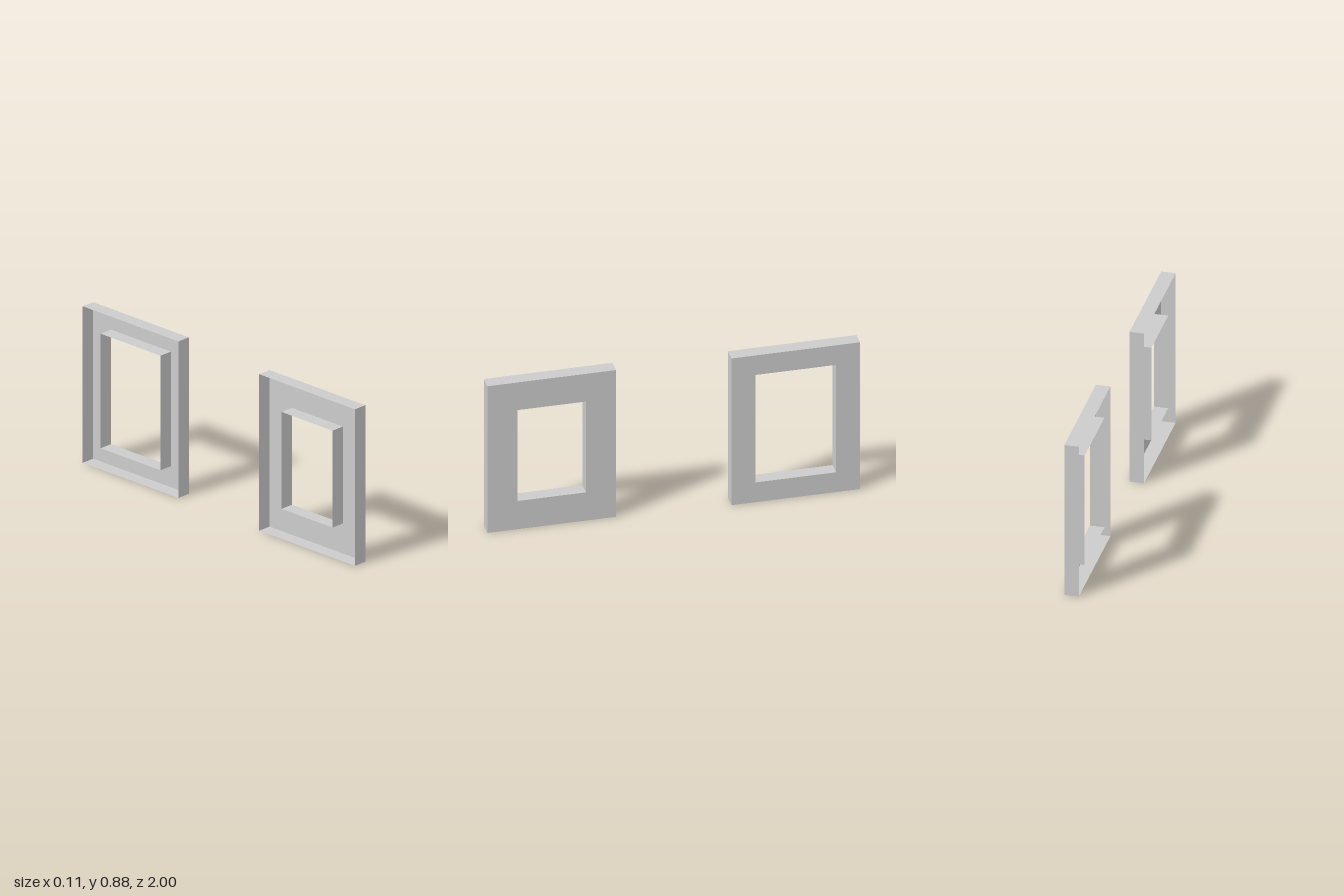
import * as THREE from 'three';

const material = new THREE.MeshStandardMaterial({ color: 0xcccccc, flatShading: true, side: THREE.DoubleSide });
const WIDTH = 0.693, HEIGHT = 0.885, DEPTH = 0.078;

// Corners of a rectangle, counter-clockwise
function corners(width, bottom, top) {
  const h = width / 2;
  return [[-h, bottom], [h, bottom], [h, top], [-h, top]].map(([x, y]) => new THREE.Vector2(x, y));
}

// Four thin walls standing on the sides of a rectangle; inward ones face its middle
function addWalls(parent, name, points, inward) {
  points.forEach((a, i) => {
    const b = points[(i + 1) % 4];
    const geometry = new THREE.PlaneGeometry(DEPTH, a.distanceTo(b));
    geometry.rotateY(inward ? -Math.PI / 2 : Math.PI / 2);
    geometry.rotateZ(Math.atan2(b.y - a.y, b.x - a.x) - Math.PI / 2);
    const wall = new THREE.Mesh(geometry, material);
    wall.position.set((a.x + b.x) / 2, (a.y + b.y) / 2, 0);
    wall.name = name;
    parent.add(wall);
  });
}

// Hollow window frame: a pierced face plate, outer and opening walls, open behind
function makeFrame(name, x, z, holeWidth, holeBottom, holeTop) {
  const frame = new THREE.Group();
  frame.name = name;
  const outer = corners(WIDTH, 0, HEIGHT);
  const inner = corners(holeWidth, holeBottom, holeTop);

  const shape = new THREE.Shape(outer);
  shape.holes.push(new THREE.Path(inner));
  const plate = new THREE.Mesh(new THREE.ShapeGeometry(shape), material);
  plate.position.z = DEPTH / 2;
  plate.name = 'facePlate';
  frame.add(plate);

  addWalls(frame, 'outerWall', outer, false);
  addWalls(frame, 'openingWall', inner, true);

  // Turn the face plate towards +x
  frame.rotation.y = Math.PI / 2;
  frame.position.set(x, 0, z);
  return frame;
}

export function createModel() {
  const model = new THREE.Group();
  model.name = 'windowFrames';
  model.add(
    makeFrame('frontFrame', -0.015, 0.6535, 0.369, 0.17, 0.718),
    makeFrame('backFrame', 0.015, -0.6535, 0.434, 0.119, 0.767)
  );
  return model;
}
